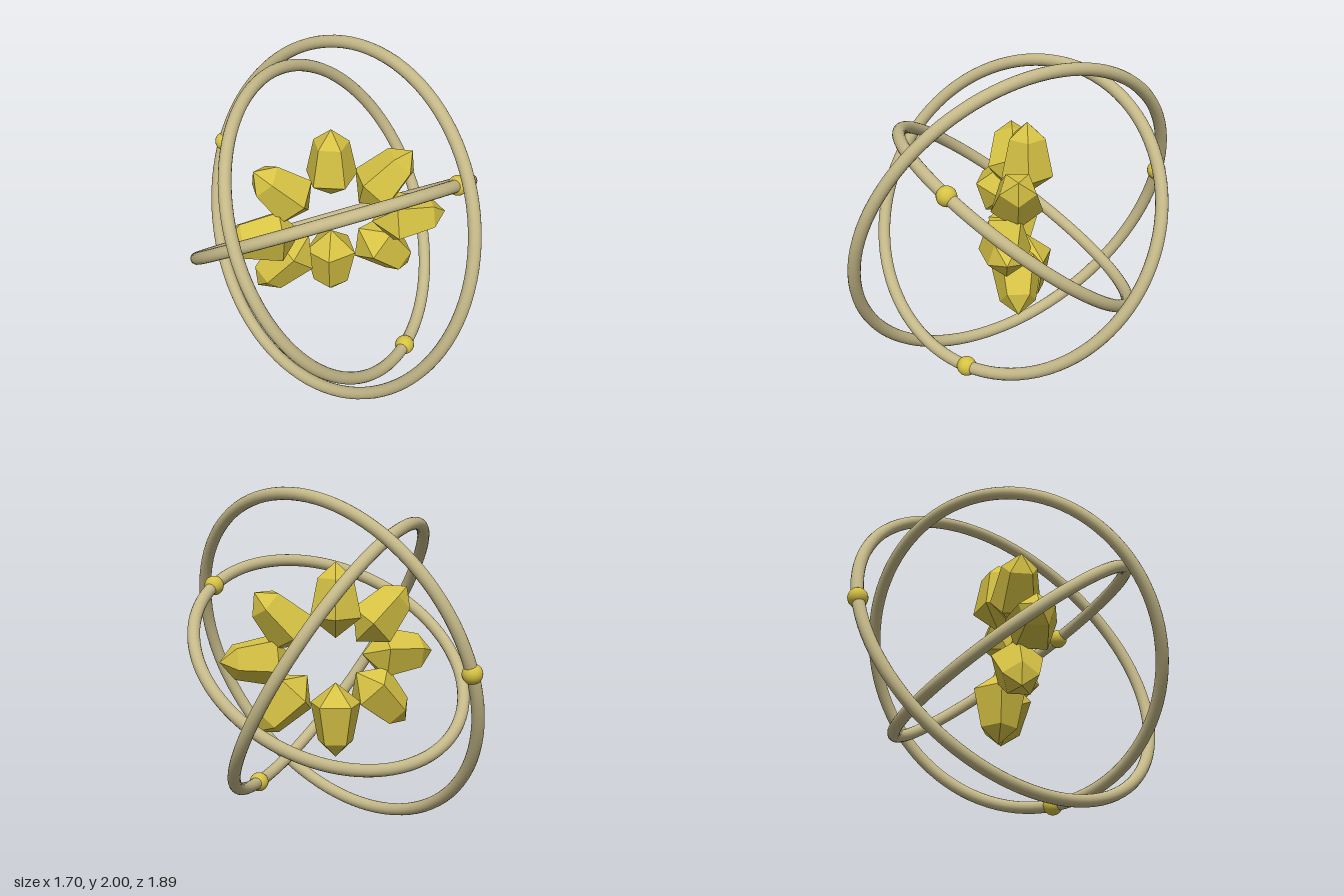
import * as THREE from 'three';

const ringMat = new THREE.MeshStandardMaterial({ color: 0xc4b888 });
ringMat.name = 'pale brass';
const goldMat = new THREE.MeshStandardMaterial({ color: 0xd6c244 });
goldMat.name = 'yellow gold';

// Faceted five-sided crystal along +y: blunt inner point, wide ring, narrow shoulder, outer tip
function crystalGeometry() {
  const sides = 5;
  const profile = [[0, -0.22], [0.154, -0.095], [0.107, 0.13], [0, 0.22]];
  const point = ([r, y], i) => {
    const a = (i / sides) * Math.PI * 2;
    return [r * Math.cos(a), y, r * Math.sin(a)];
  };
  const pos = [];
  for (let i = 0; i < sides; i++) {
    for (let k = 0; k < 3; k++) {
      const a = point(profile[k], i), b = point(profile[k], i + 1);
      const c = point(profile[k + 1], i + 1), d = point(profile[k + 1], i);
      if (k < 2) pos.push(...a, ...d, ...c);
      if (k === 1) pos.push(...a, ...c, ...b);
      if (k === 2) pos.push(...a, ...d, ...b);
    }
  }
  const g = new THREE.BufferGeometry();
  g.setAttribute('position', new THREE.Float32BufferAttribute(pos, 3));
  g.computeVertexNormals(); // unshared corners give flat facets
  return g;
}

export function createModel() {
  const model = new THREE.Group();
  model.name = 'crystalOrrery';
  const core = new THREE.Group();
  core.position.set(0, 1, 0.005);
  model.add(core);

  // Three tilted rings, each with a bead riding on it
  const rings = [
    { name: 'inner', radius: 0.82, normal: [-0.137, 0.785, -0.605], bead: [0.61, 0.4, 0.39] },
    { name: 'middle', radius: 0.92, normal: [0.679, 0.512, 0.525], bead: [0.375, -0.78, 0.3] },
    { name: 'outer', radius: 1.02, normal: [-0.82, 0.332, 0.466], bead: [-0.5, 0.05, -0.9] },
  ];
  const zAxis = new THREE.Vector3(0, 0, 1);
  for (const { name, radius, normal, bead } of rings) {
    const n = new THREE.Vector3(...normal).normalize();
    const ring = new THREE.Mesh(new THREE.TorusGeometry(radius, 0.036, 16, 96), ringMat);
    ring.name = name + 'Ring';
    ring.quaternion.setFromUnitVectors(zAxis, n);
    const ball = new THREE.Mesh(new THREE.SphereGeometry(0.057, 20, 14), goldMat);
    ball.name = name + 'Bead';
    ball.position.set(...bead).projectOnPlane(n).setLength(radius);
    core.add(ring, ball);
  }

  // Eight crystals in an oval, pointing outwards and waving in depth
  const geometry = crystalGeometry();
  for (let i = 0; i < 8; i++) {
    const a = (i / 8) * Math.PI * 2;
    const crystal = new THREE.Mesh(geometry, goldMat);
    crystal.name = 'crystal' + (i + 1);
    crystal.position.set(0.43 * Math.cos(a), 0.35 * Math.sin(a), 0.07 * Math.cos(2 * a));
    crystal.rotation.z = a - Math.PI / 2;
    core.add(crystal);
  }
  return model;
}
